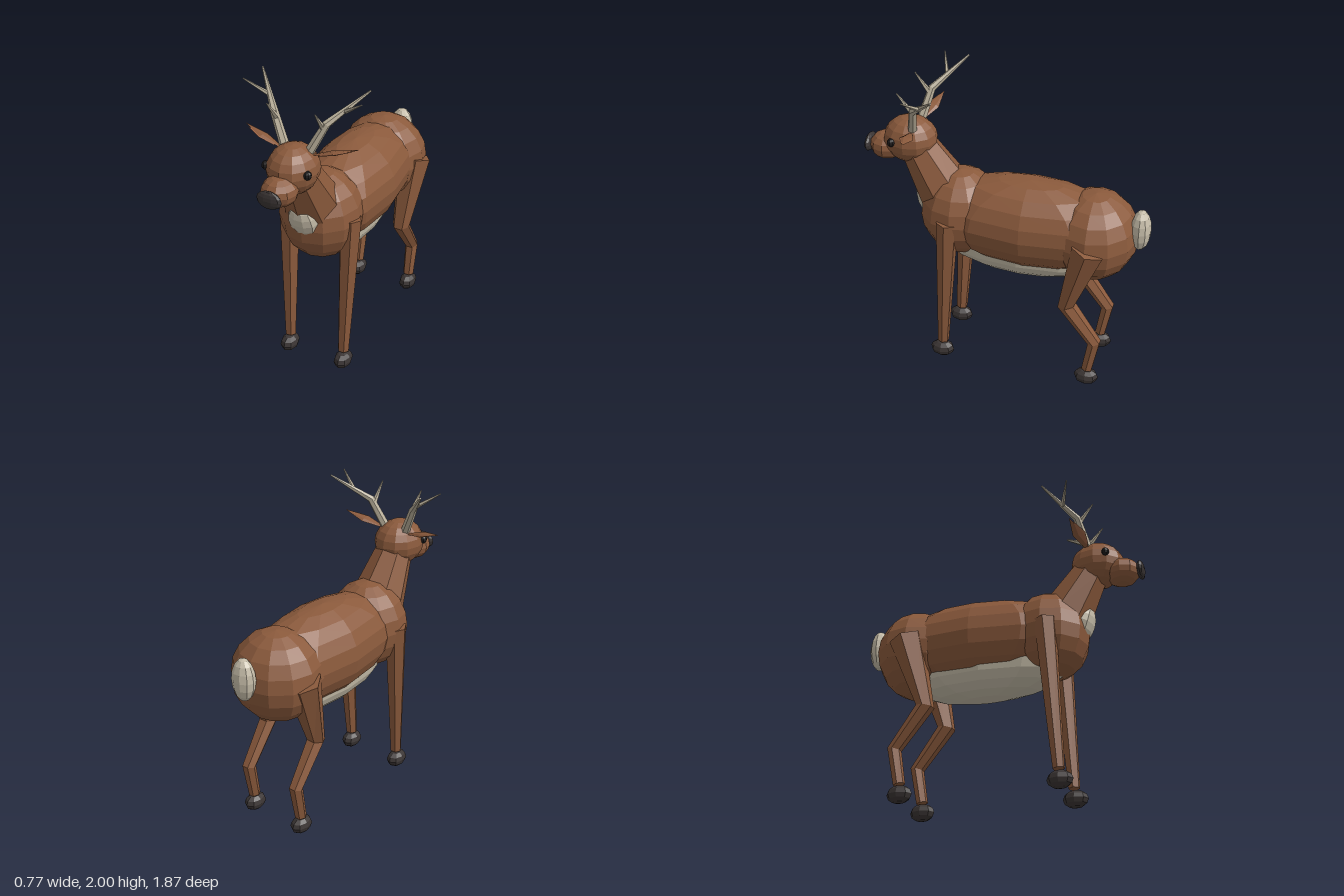
import * as THREE from 'three';

const mat = (name, color) => {
  const m = new THREE.MeshStandardMaterial({ color, flatShading: true });
  m.name = name;
  return m;
};

export function createModel() {
  const deer = new THREE.Group();
  deer.name = 'deer';
  const fur = mat('brown fur', 0x8b5a3c);
  const cream = mat('cream fur', 0xc6bda9);
  const horn = mat('antler bone', 0xb8ae99);
  const dark = mat('dark hoof and nose', 0x3a3433);
  const black = mat('eye black', 0x1c1a1a);
  const earTan = mat('inner ear', 0xa5694a);

  const add = (name, geometry, material) => {
    const mesh = new THREE.Mesh(geometry, material);
    mesh.name = name;
    deer.add(mesh);
    return mesh;
  };

  // Faceted ellipsoid: centre, radii, segment counts
  const blob = (name, material, c, r, w = 12, h = 10) => {
    const mesh = add(name, new THREE.SphereGeometry(1, w, h), material);
    mesh.position.set(...c);
    mesh.scale.set(...r);
    return mesh;
  };

  // Tapered limb through points listed from bottom to top, with mitred joints
  const limb = (name, material, pts, radii, sides = 6, turn = 0) => {
    const p = pts.map((q) => new THREE.Vector3(...q));
    const last = p.length - 1;
    const dir = (i) => p[i + 1].clone().sub(p[i]).normalize();
    const turns = p.map((_, i) => {
      const t = dir(Math.min(i, last - 1)).add(dir(Math.max(i - 1, 0))).normalize();
      return new THREE.Quaternion().setFromUnitVectors(new THREE.Vector3(0, 1, 0), t);
    });
    const geo = new THREE.CylinderGeometry(1, 1, last, sides, last);
    geo.rotateY(turn);
    const pos = geo.attributes.position;
    const v = new THREE.Vector3();
    for (let k = 0; k < pos.count; k++) {
      v.fromBufferAttribute(pos, k);
      const i = Math.round(v.y + last / 2);
      v.setY(0).multiplyScalar(radii[i]).applyQuaternion(turns[i]).add(p[i]);
      pos.setXYZ(k, v.x, v.y, v.z);
    }
    geo.computeVertexNormals();
    return add(name, geo, material);
  };

  // Trunk
  blob('body', fur, [0, 1.075, -0.16], [0.29, 0.3, 0.68]);
  blob('chest', fur, [0, 1.08, 0.3], [0.265, 0.295, 0.265]);
  blob('hips', fur, [0, 1.06, -0.58], [0.295, 0.295, 0.28]);
  blob('belly', cream, [0, 0.89, -0.12], [0.2, 0.2, 0.57]);
  blob('tail', cream, [0, 1.14, -0.87], [0.08, 0.14, 0.066], 10, 8);

  // Neck and chest patch
  limb('neck', fur, [[0, 1.21, 0.41], [0, 1.49, 0.575]], [0.18, 0.125], 8);
  blob('chestPatch', cream, [0, 1.14, 0.53], [0.1, 0.125, 0.065], 10, 8).rotation.x = 0.3;

  // Head
  blob('head', fur, [0, 1.55, 0.63], [0.157, 0.153, 0.175]);
  blob('snout', fur, [0, 1.48, 0.79], [0.112, 0.092, 0.115], 10, 8);
  blob('nose', dark, [0, 1.48, 0.91], [0.082, 0.057, 0.026], 10, 8);

  for (const s of [1, -1]) {
    const side = s > 0 ? 'left' : 'right';
    const flip = (pts) => pts.map(([x, y, z]) => [x * s, y, z]);

    blob(side + 'Eye', black, [0.138 * s, 1.572, 0.71], [0.025, 0.028, 0.026], 8, 6);

    // Leaf-shaped ear with a smaller inner leaf
    const earDir = new THREE.Vector3(0.26 * s, 0.07, -0.05).normalize();
    const ear = (name, material, c, size) => {
      const m = limb(name, material, [[0, 0, 0], [0, 0.13, 0], [0, 0.275, 0]],
        [0.012, 0.04, 0.002]);
      m.quaternion.setFromUnitVectors(new THREE.Vector3(0, 1, 0), earDir);
      m.position.set(c[0] * s, c[1], c[2]);
      m.scale.set(0.32 * size, size, size);
    };
    ear(side + 'Ear', fur, [0.11, 1.64, 0.585], 1);
    ear(side + 'InnerEar', earTan, [0.145, 1.648, 0.594], 0.75);

    // Antler: bent beam with two tines
    limb(side + 'AntlerBeam', horn,
      flip([[0.08, 1.65, 0.585], [0.17, 1.83, 0.54], [0.355, 2.0, 0.352]]),
      [0.03, 0.025, 0.006]);
    limb(side + 'FrontTine', horn, flip([[0.15, 1.8, 0.545], [0.155, 1.93, 0.645]]),
      [0.019, 0.004], 5);
    limb(side + 'UpperTine', horn, flip([[0.25, 1.895, 0.465], [0.385, 1.99, 0.525]]),
      [0.015, 0.004], 5);

    // Legs and hooves
    limb(side + 'FrontLeg', fur, flip([[0.197, 0.125, 0.388], [0.215, 1.105, 0.325]]),
      [0.038, 0.073], 6, Math.PI / 2);
    limb(side + 'HindLeg', fur,
      flip([[0.2, 0.12, -0.615], [0.2, 0.35, -0.655], [0.2, 0.615, -0.462], [0.22, 1.09, -0.595]]),
      [0.038, 0.046, 0.06, 0.115], 6, Math.PI / 2);
    for (const [name, z] of [['FrontHoof', 0.395], ['HindHoof', -0.612]])
      blob(side + name, dark, [0.2 * s, 0.057, z], [0.057, 0.057, 0.082], 8, 6);
  }
  return deer;
}
